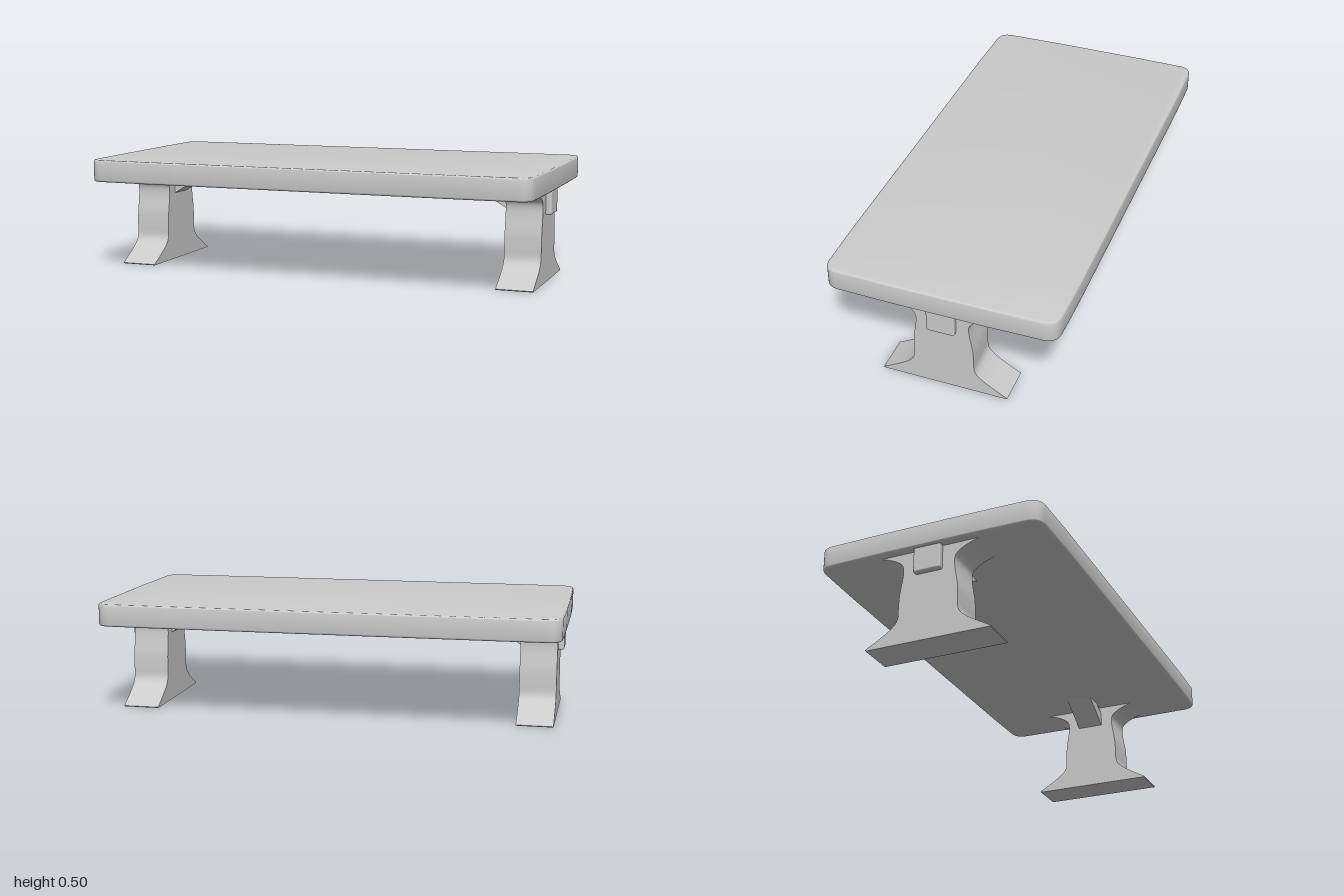
import * as THREE from 'three';
import { toCreasedNormals } from 'three/addons/utils/BufferGeometryUtils.js';
import { RoundedBoxGeometry } from 'three/addons/geometries/RoundedBoxGeometry.js';

const material = new THREE.MeshStandardMaterial({ color: 0xcccccc });

function part(name, geometry) {
  const mesh = new THREE.Mesh(geometry, material);
  mesh.name = name;
  return mesh;
}

// Slab with softened corners and a small rounded rim
function tableTop() {
  const w = 1, d = 0.5, r = 0.06, s = 0.004;
  const shape = new THREE.Shape();
  shape.moveTo(-0.74, -d);
  shape.lineTo(0.74, -d);
  shape.lineTo(w - r, -d + s);
  shape.quadraticCurveTo(w - 0.008, -d + 0.008, w - s, -d + r);
  shape.lineTo(w, -0.2);
  shape.lineTo(w, 0.2);
  shape.lineTo(w - s, d - r);
  shape.quadraticCurveTo(w - 0.008, d - 0.008, w - r, d - s);
  shape.lineTo(0.74, d);
  shape.lineTo(-0.74, d);
  shape.lineTo(-w + r, d - s);
  shape.quadraticCurveTo(-w + 0.008, d - 0.008, -w + s, d - r);
  shape.lineTo(-w, 0.2);
  shape.lineTo(-w, -0.2);
  shape.lineTo(-w + s, -d + r);
  shape.quadraticCurveTo(-w + 0.008, -d + 0.008, -w + r, -d + s);
  shape.closePath();
  const bevel = 0.008;
  const geometry = new THREE.ExtrudeGeometry(shape, {
    depth: 0.097 - 2 * bevel, bevelThickness: bevel, bevelSize: bevel,
    bevelOffset: -bevel, bevelSegments: 3, curveSegments: 8,
  });
  geometry.rotateX(-Math.PI / 2);
  geometry.translate(0, 0.403 + bevel, 0);
  return part('tableTop', toCreasedNormals(geometry, 0.7));
}

// Waisted pedestal: flared foot, narrow neck, flared head
function legBody() {
  const side = new THREE.SplineCurve([
    [0.275, 0.004], [0.21, 0.041], [0.16, 0.075], [0.134, 0.108],
    [0.131, 0.16], [0.128, 0.22], [0.116, 0.295], [0.115, 0.338],
    [0.13, 0.363], [0.17, 0.386], [0.225, 0.405],
  ].map(([z, y]) => new THREE.Vector2(z, y))).getPoints(40);
  const mirrored = side.map((p) => new THREE.Vector2(-p.x, p.y)).reverse();
  const shape = new THREE.Shape([
    new THREE.Vector2(0.272, 0), ...side, ...mirrored, new THREE.Vector2(-0.272, 0),
  ]);
  const geometry = new THREE.ExtrudeGeometry(shape, { depth: 0.16, bevelEnabled: false });
  geometry.rotateY(Math.PI / 2);
  geometry.translate(0.8, 0, 0);
  return part('legBody', toCreasedNormals(geometry, 0.6));
}

// Slanted brace from the inner face of the leg up to the slab
function brace() {
  const shape = new THREE.Shape([
    [0.81, 0.304], [0.81, 0.364], [0.735, 0.409], [0.635, 0.409],
  ].map(([x, y]) => new THREE.Vector2(x, y)));
  const geometry = new THREE.ExtrudeGeometry(shape, { depth: 0.12, bevelEnabled: false });
  geometry.translate(0, 0, -0.06);
  return part('brace', geometry);
}

// Rounded block on the outer face of the leg
function bracketBlock() {
  const geometry = new RoundedBoxGeometry(0.06, 0.12, 0.12, 3, 0.007);
  geometry.translate(0.955, 0.356, 0);
  return part('bracketBlock', geometry);
}

export function createModel() {
  const model = new THREE.Group();
  model.name = 'table';
  model.add(tableTop());
  for (const [name, turn] of [['leftLeg', 0], ['rightLeg', Math.PI]]) {
    const leg = new THREE.Group();
    leg.name = name;
    leg.add(legBody(), brace(), bracketBlock());
    leg.rotation.y = turn;
    model.add(leg);
  }
  return model;
}
